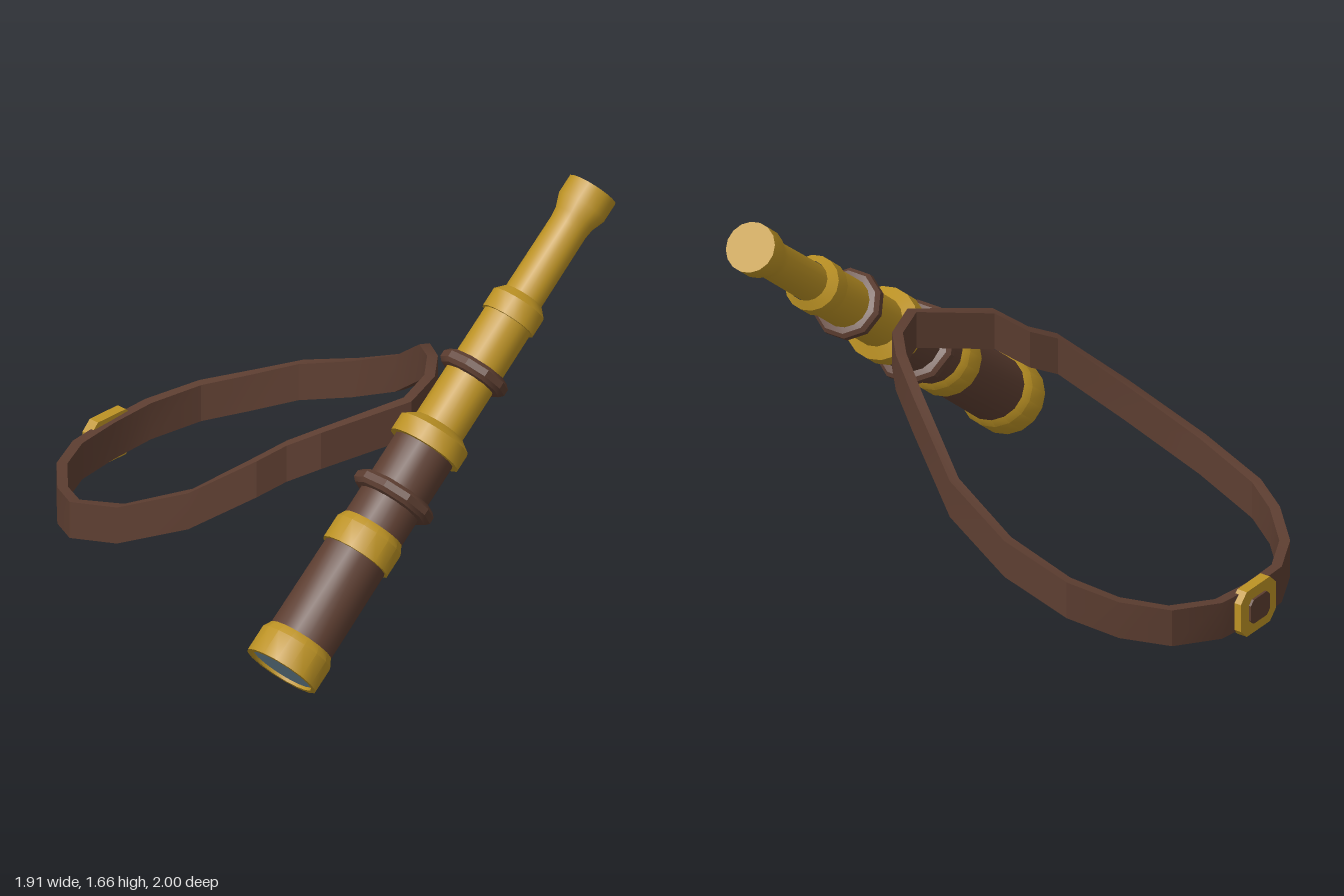
import * as THREE from 'three';
import { toCreasedNormals } from 'three/addons/utils/BufferGeometryUtils.js';

const material = (name, color) => {
  const m = new THREE.MeshStandardMaterial({ color });
  m.name = name;
  return m;
};

export function createModel() {
  const brass = material('brass', 0xbc9224);
  const leather = material('leather', 0x5d3e31);
  const glass = material('glass', 0x7492a4);
  const model = new THREE.Group();
  model.name = 'spyglassWithStrap';

  const add = (parent, name, geometry, mat) => {
    const mesh = new THREE.Mesh(geometry, mat);
    mesh.name = name;
    parent.add(mesh);
    return mesh;
  };

  // Spyglass: turned parts along local y, from objective to eyepiece
  const spyglass = new THREE.Group();
  spyglass.name = 'spyglass';
  spyglass.position.set(-0.854, 0.118, 0.818);
  spyglass.rotation.z = -THREE.MathUtils.degToRad(50);
  spyglass.scale.z = 1.05;
  model.add(spyglass);

  // profile: [radius, distance along the tube]
  const turned = (name, profile, mat, sides = 16) => {
    const points = profile.map(([r, s]) => new THREE.Vector2(r, s));
    const geometry = new THREE.LatheGeometry(points, sides);
    return add(spyglass, name, toCreasedNormals(geometry, 0.6), mat);
  };

  turned('objectiveCap', [[0.128, 0.02], [0.134, 0], [0.153, 0], [0.153, 0.11], [0.132, 0.15]], brass);
  turned('lens', [[0, 0.012], [0.132, 0.012]], glass);
  turned('lowerBarrel', [[0.135, 0.1], [0.132, 0.56]], leather);
  turned('lowerCollar', [[0.12, 0.54], [0.144, 0.54], [0.144, 0.64], [0.126, 0.675]], brass);
  turned('upperBarrel', [[0.127, 0.62], [0.127, 1.06]], leather);
  turned('middleCollar', [[0.12, 1.045], [0.15, 1.045], [0.15, 1.12], [0.104, 1.155]], brass);
  turned('middleTube', [[0.104, 1.14], [0.102, 1.67]], brass);
  turned('upperCollar', [[0.095, 1.655], [0.113, 1.655], [0.113, 1.735], [0.082, 1.77]], brass);
  turned('eyepiece', [[0.08, 1.75], [0.078, 2.1], [0.083, 2.14], [0.103, 2.195], [0.103, 2.277], [0, 2.277]], brass);

  // Leather rings that hold the strap
  for (const [name, r, inner, s] of [['lowerStrapRing', 0.17, 0.12, 0.823], ['upperStrapRing', 0.143, 0.095, 1.41]]) {
    turned(name, [[inner, s - 0.035], [r - 0.015, s - 0.03], [r, s - 0.014],
      [r, s + 0.014], [r - 0.015, s + 0.03], [inner, s + 0.035]], leather, 10);
  }

  // Strap: rectangular section swept round a closed, sagging loop
  const path = [
    [0, 0.86, 0.675], [0.19, 0.868, 0.61], [0.32, 0.865, 0.5], [0.455, 0.8, 0.325],
    [0.61, 0.585, 0.04], [0.658, 0.435, -0.25], [0.635, 0.33, -0.525], [0.54, 0.255, -0.7],
    [0.405, 0.205, -0.85], [0.2, 0.17, -0.935], [0, 0.155, -0.945],
    [-0.2, 0.145, -0.93], [-0.375, 0.15, -0.845], [-0.54, 0.17, -0.68], [-0.628, 0.2, -0.53],
    [-0.658, 0.295, -0.25], [-0.6, 0.46, 0.075], [-0.475, 0.645, 0.315], [-0.375, 0.7, 0.38],
    [-0.305, 0.775, 0.5],
  ];
  const n = path.length, halfWidth = 0.08, halfThick = 0.021;
  const positions = [], index = [];
  const outward = (a, b) => new THREE.Vector2(-(b[2] - a[2]), b[0] - a[0]).normalize();
  path.forEach((p, i) => {
    const before = outward(path[(i + n - 1) % n], p);
    const after = outward(p, path[(i + 1) % n]);
    const miter = before.clone().add(after).normalize();
    miter.multiplyScalar(halfThick / Math.max(miter.dot(after), 0.6));
    for (const [side, up] of [[1, -1], [1, 1], [-1, 1], [-1, -1]]) {
      positions.push(p[0] + miter.x * side, p[1] + halfWidth * up, p[2] + miter.y * side);
    }
    for (let k = 0; k < 4; k++) {
      const j = (k + 1) % 4, a = i * 4, b = ((i + 1) % n) * 4;
      index.push(a + k, b + k, b + j, a + k, b + j, a + j);
    }
  });
  const strap = new THREE.BufferGeometry();
  strap.setAttribute('position', new THREE.Float32BufferAttribute(positions, 3));
  strap.setIndex(index);
  add(model, 'strap', toCreasedNormals(strap, 0.35), leather);

  // Buckle: chamfered plates stacked on the back of the strap
  const plate = (w, h, c, depth) => new THREE.ExtrudeGeometry(new THREE.Shape([
    [-w, -h + c], [-w + c, -h], [w - c, -h], [w, -h + c],
    [w, h - c], [w - c, h], [-w + c, h], [-w, h - c],
  ].map(([x, y]) => new THREE.Vector2(x, y))), { depth, bevelEnabled: false });
  const buckle = new THREE.Group();
  buckle.name = 'buckle';
  buckle.position.set(0.008, 0.155, -0.99);
  model.add(buckle);
  add(buckle, 'buckleFrame', plate(0.118, 0.1, 0.04, 0.045), brass);
  add(buckle, 'bucklePanel', plate(0.064, 0.053, 0.02, 0.02), leather).position.z = -0.01;

  return model;
}
